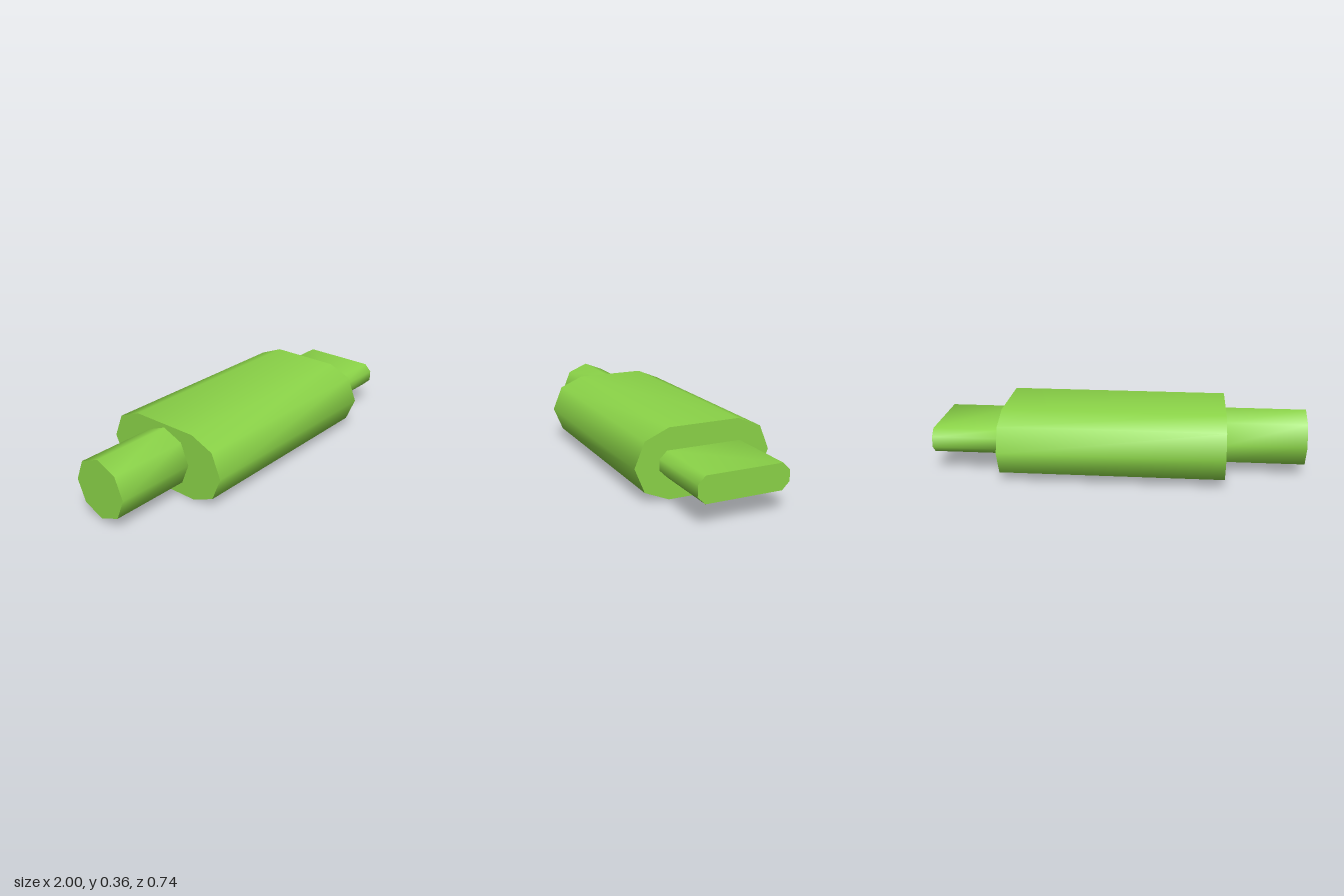
import * as THREE from 'three';
import { toCreasedNormals } from 'three/addons/utils/BufferGeometryUtils.js';

const CENTRE_Y = 0.182;

// Prism along x with smooth sides and crisp end caps; points are (z, y) around the axis
function prism(name, points, x0, x1, y, material) {
  const shape = new THREE.Shape(points.map(([a, b]) => new THREE.Vector2(a, b)));
  const solid = new THREE.ExtrudeGeometry(shape, { depth: x1 - x0, bevelEnabled: false });
  solid.rotateY(Math.PI / 2);
  const mesh = new THREE.Mesh(toCreasedNormals(solid, 1.0), material);
  mesh.name = name;
  mesh.position.set(x0, y, 0);
  return mesh;
}

// Mirror one quarter of a section (from the side towards the top) into a full loop
function mirrored(quarter) {
  const top = [...quarter, ...quarter.map(([a, b]) => [-a, b]).reverse()];
  const loop = [...top, ...top.map(([a, b]) => [-a, -b])];
  // Drop doubled points that lie on the mirror line
  return loop.filter(([a, b], i) => {
    const [c, d] = loop[(i + 1) % loop.length];
    return Math.hypot(a - c, b - d) > 1e-6;
  });
}

export function createModel() {
  const group = new THREE.Group();
  group.name = 'connectorPlug';
  const green = new THREE.MeshStandardMaterial({ color: 0x8bd448 });
  green.name = 'lime green';

  // Wide housing with a ten-sided section
  const housing = mirrored([[0.37, 0], [0.317, 0.128], [0.189, 0.182]]);
  group.add(prism('housing', housing, -0.567, 0.622, CENTRE_Y, green));

  // Flat plug with chamfered corners
  const plug = mirrored([[0.239, 0.029], [0.2, 0.067]]);
  group.add(prism('plug', plug, 0.622, 1, CENTRE_Y + 0.001, green));

  // Eight-sided cable sleeve
  const sleeve = Array.from({ length: 8 }, (_, i) => {
    const t = (i * Math.PI) / 4;
    return [0.16 * Math.cos(t), 0.16 * Math.sin(t)];
  });
  group.add(prism('cableSleeve', sleeve, -1, -0.567, CENTRE_Y + 0.002, green));

  return group;
}
